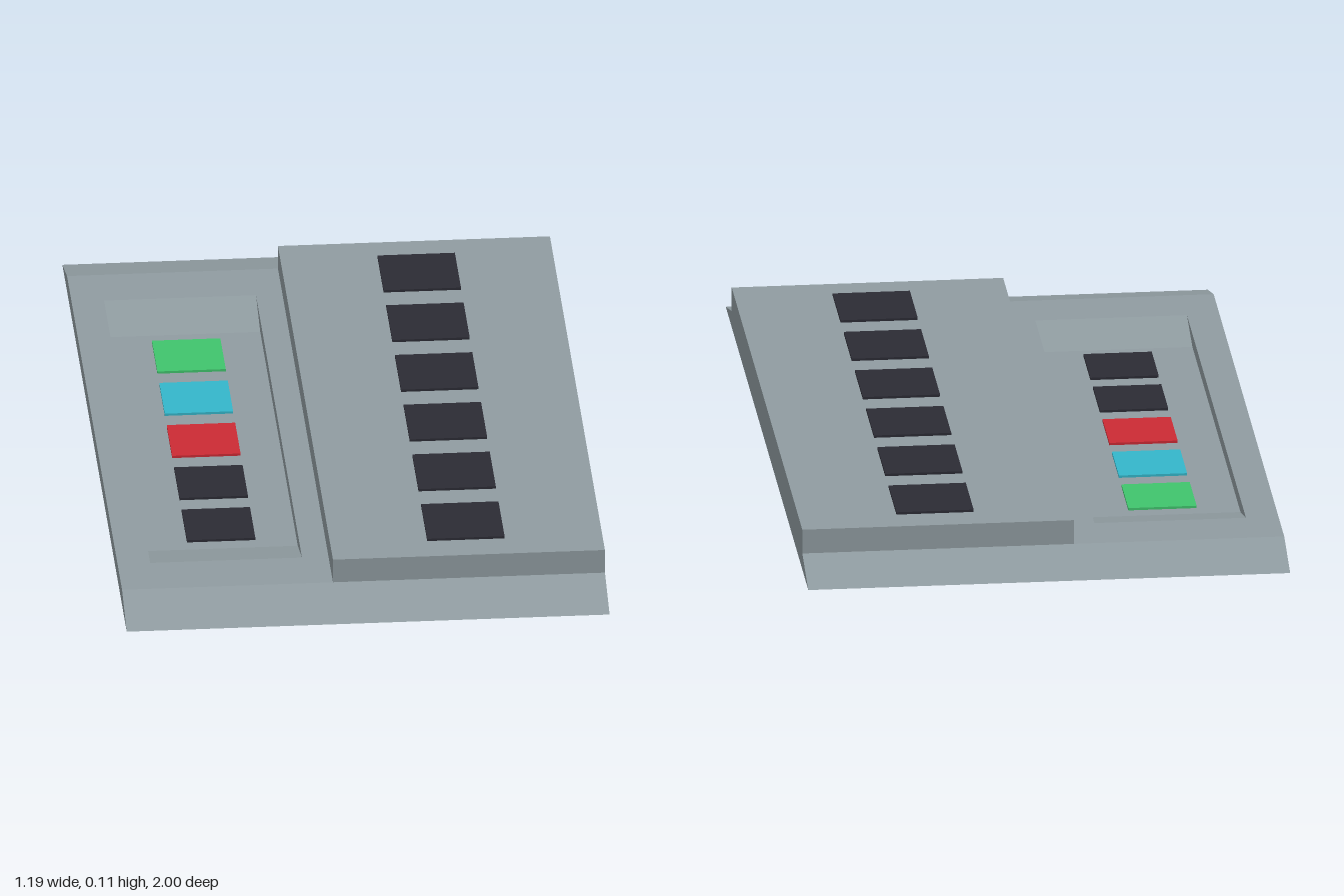
import * as THREE from 'three';

const mat = (name, color) => {
  const m = new THREE.MeshStandardMaterial({ color });
  m.name = name;
  return m;
};

export function createModel() {
  const model = new THREE.Group();
  model.name = 'controlPanel';
  const grey = mat('panelGrey', 0x909ca1);
  const black = mat('buttonBlack', 0x2b2b34);
  const red = mat('buttonRed', 0xcc2a34);
  const cyan = mat('buttonCyan', 0x34b6ca);
  const green = mat('buttonGreen', 0x40c46d);

  const W = 0.593, BASE = 0.042, TOP = 0.104, END = 0.855, FLOOR = 0.008;

  const add = (name, geometry, material) => {
    const mesh = new THREE.Mesh(geometry, material);
    mesh.name = name;
    model.add(mesh);
  };

  // Box given by its limits on each axis
  const box = (name, x0, x1, y0, y1, z0, z1, material = grey) => add(name,
    new THREE.BoxGeometry(x1 - x0, y1 - y0, z1 - z0)
      .translate((x0 + x1) / 2, (y0 + y1) / 2, (z0 + z1) / 2), material);

  // Side profile of [z, y] points, extruded across from x0 to x1
  const profile = (name, points, x0, x1) => {
    const shape = new THREE.Shape(points.map(([z, y]) => new THREE.Vector2(z, y)));
    const geo = new THREE.ExtrudeGeometry(shape, { depth: x1 - x0, bevelEnabled: false });
    add(name, geo.rotateY(-Math.PI / 2).translate(x1, 0, 0), grey);
  };

  // Base on both sides of the channel, and the raised deck
  box('outerRail', -W, -0.513, 0, BASE, -END, END);
  box('mainBase', -0.14, W, 0, BASE, -END, END);
  box('raisedDeck', -0.075, W, BASE, TOP, -END, END);

  // Sloping end edges
  profile('frontEdge', [[END, 0], [1, 0], [END, BASE]], -W, W);
  profile('backEdge', [[-1, 0], [-END, 0], [-END, BASE]], -W, W);

  // Sunken channel with a ramp at each end
  profile('channel', [[-END, 0], [END, 0], [END, BASE], [0.715, BASE], [0.583, FLOOR],
    [-0.583, FLOOR], [-0.715, BASE], [-END, BASE]], -0.513, -0.14);

  // Button rows
  const button = (name, x, y, z, size, material) => box(name,
    x - size / 2, x + size / 2, y, y + 0.006, z - size / 2, z + size / 2, material);
  [green, cyan, red, black, black].forEach((m, i) =>
    button(`channelButton${i + 1}`, -0.325, FLOOR, (i - 2) * 0.23, 0.168, m));
  for (let i = 0; i < 6; i++) {
    button(`deckButton${i + 1}`, 0.258, TOP, (i - 2.5) * 0.271, 0.19, black);
  }
  return model;
}
